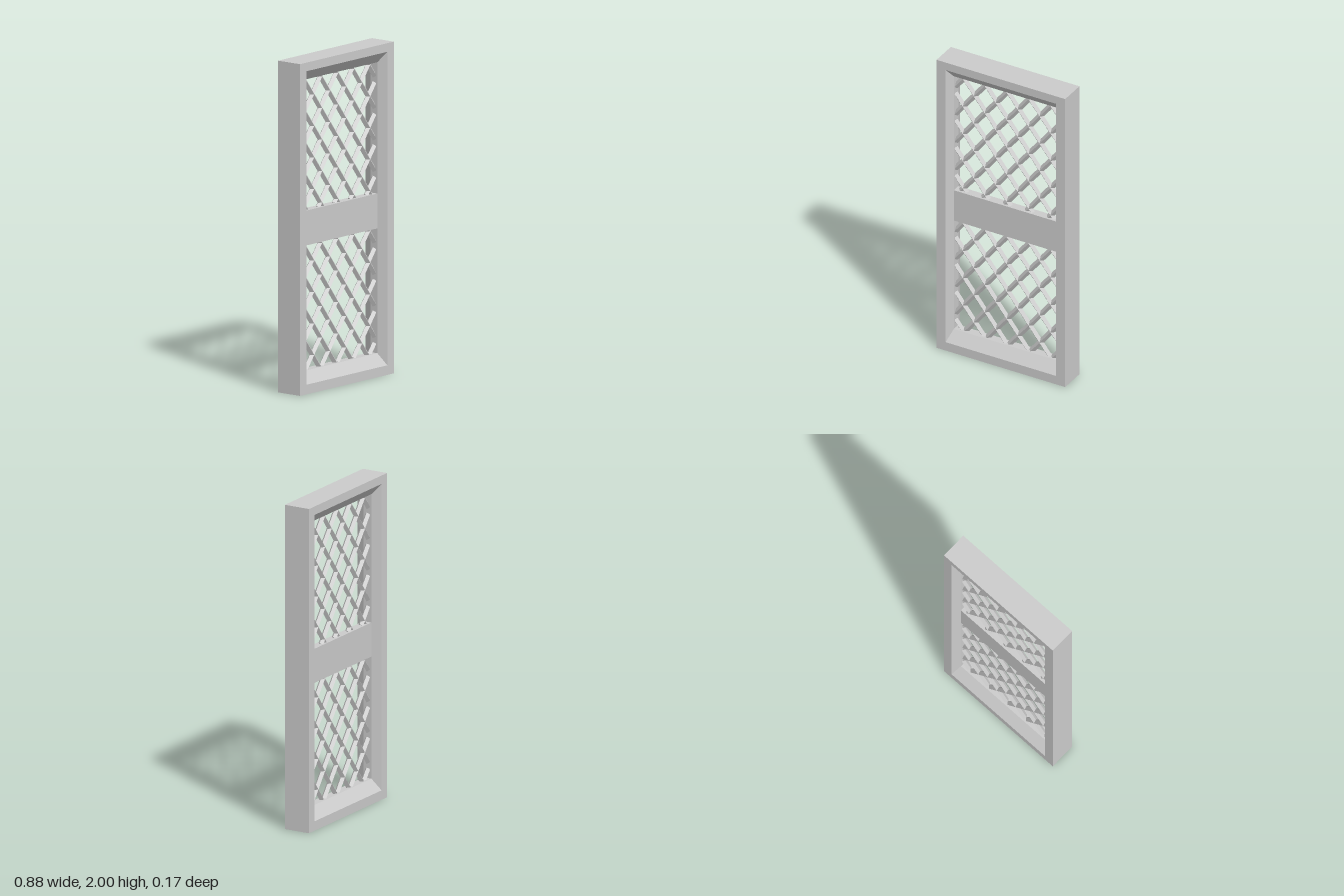
import * as THREE from 'three';

const HALF_W = 0.44, HEIGHT = 2, HALF_D = 0.084;
const IN_X = 0.355, IN_LOW = 0.127, IN_HIGH = 1.882, IN_Z = 0.027;
const RAIL_LOW = 0.88, RAIL_HIGH = 1.09;

const material = new THREE.MeshStandardMaterial({ color: 0xcccccc, flatShading: true });

function addMesh(parent, name, geometry) {
  const mesh = new THREE.Mesh(geometry, material);
  mesh.name = name;
  parent.add(mesh);
  return mesh;
}

// Rectangular rings swept through the frame's section: faces, bevels and inner wall
function frameGeometry() {
  const ring = (x, low, high, z) => [[-x, low, z], [x, low, z], [x, high, z], [-x, high, z]];
  const rings = [
    ring(HALF_W, 0, HEIGHT, HALF_D),
    ring(0.378, 0.058, 1.948, HALF_D),
    ring(IN_X, IN_LOW, IN_HIGH, IN_Z),
    ring(IN_X, IN_LOW, IN_HIGH, -IN_Z),
    ring(0.378, 0.058, 1.948, -HALF_D),
    ring(HALF_W, 0, HEIGHT, -HALF_D),
  ];
  const positions = [];
  rings.forEach((r, i) => {
    const next = rings[(i + 1) % rings.length];
    for (let k = 0; k < 4; k++) {
      const m = (k + 1) % 4;
      positions.push(...r[k], ...r[m], ...next[m], ...r[k], ...next[m], ...next[k]);
    }
  });
  const geometry = new THREE.BufferGeometry();
  geometry.setAttribute('position', new THREE.Float32BufferAttribute(positions, 3));
  geometry.computeVertexNormals();
  return geometry;
}

// Diagonal bars of diamond section, trimmed to one panel opening
function lattice(name, low, high) {
  const panel = new THREE.Group();
  panel.name = name;
  const spacing = 0.15, slope = 0.19 / spacing, radius = 0.017;
  const top = high - 0.01;
  const up = new THREE.Vector3(0, 1, 0);
  for (const side of [-1, 1]) {
    for (let i = -8; i <= 8; i++) {
      // Line through (i * spacing, top), falling towards the given side
      const x0 = i * spacing;
      const start = Math.max(top - high, (-IN_X - side * x0) / 1 * slope);
      const end = Math.min(top - low, (IN_X - side * x0) * slope);
      if (end - start < 0.03) continue;
      const point = (drop) => new THREE.Vector3(x0 + side * drop / slope, top - drop, 0);
      const a = point(start), b = point(end);
      const bar = addMesh(panel, 'latticeBar',
        new THREE.CylinderGeometry(radius, radius, a.distanceTo(b) + 0.01, 4));
      bar.position.copy(a).add(b).multiplyScalar(0.5);
      bar.quaternion.setFromUnitVectors(up, a.sub(b).normalize());
    }
  }
  return panel;
}

export function createModel() {
  const model = new THREE.Group();
  model.name = 'latticeWindow';

  addMesh(model, 'frame', frameGeometry());

  // Crossbar between the two panels
  const rail = addMesh(model, 'middleRail',
    new THREE.BoxGeometry(IN_X * 2, RAIL_HIGH - RAIL_LOW, IN_Z * 2));
  rail.position.y = (RAIL_LOW + RAIL_HIGH) / 2;

  model.add(lattice('upperLattice', RAIL_HIGH, IN_HIGH));
  model.add(lattice('lowerLattice', IN_LOW, RAIL_LOW));
  return model;
}
